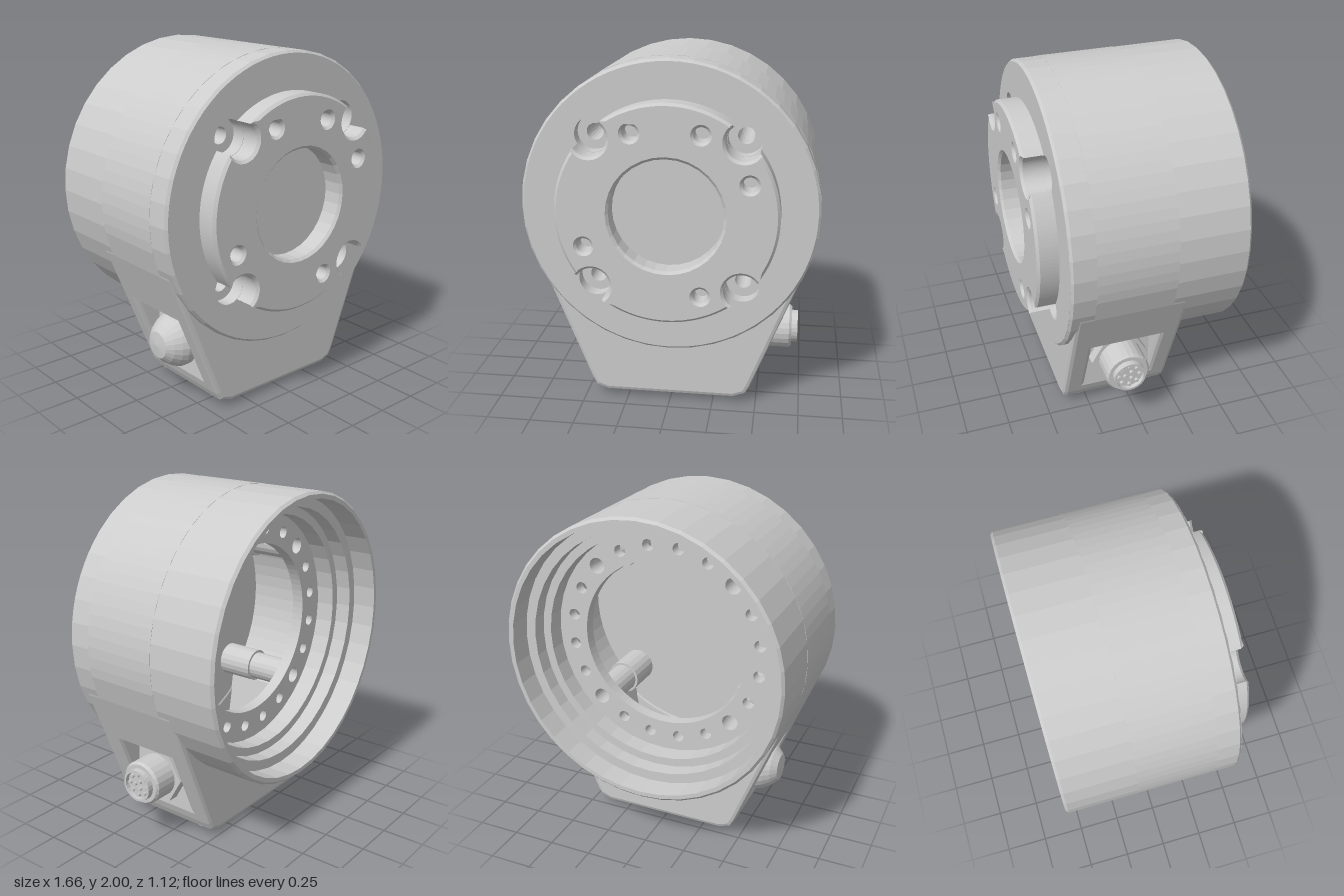
import * as THREE from 'three';

const CY = 1.17;                        // height of the main axis
const R = 0.83;                         // housing radius
const TILT = Math.atan(0.4);            // slope of the pedestal sides
const sideX = (y) => 0.77 - 0.4 * (0.862 - y);
const POCKET_X = sideX(0.15);           // floor of the side pockets

export function createModel() {
  const group = new THREE.Group();
  const metal = new THREE.MeshStandardMaterial({ color: 0xcccccc, side: THREE.DoubleSide });
  metal.name = 'grey metal';

  const add = (name, geometry, x = 0, y = 0, z = 0) => {
    const flat = geometry.index ? geometry.toNonIndexed() : geometry;
    flat.computeVertexNormals();
    const mesh = new THREE.Mesh(flat, metal);
    mesh.name = name;
    mesh.position.set(x, y, z);
    group.add(mesh);
    return mesh;
  };
  const lathe = (points, segments) =>
    new THREE.LatheGeometry(points.map(([r, h]) => new THREE.Vector2(r, h)), segments);
  const circle = (x, y, r) => new THREE.Path().absarc(x, y, r, 0, Math.PI * 2, false);
  const disc = (r) => new THREE.Shape().absarc(0, CY, r, 0, Math.PI * 2, false);

  // Extrudes a shape between two depths, the bevel staying inside its outline
  const slab = (name, shape, z0, z1, bevel = 0, curveSegments = 40, bevelSegments = 2) => {
    const geometry = new THREE.ExtrudeGeometry(shape, {
      depth: z1 - z0 - 2 * bevel, curveSegments, bevelEnabled: bevel > 0,
      bevelThickness: bevel, bevelSize: bevel, bevelOffset: -bevel, bevelSegments,
    });
    return add(name, geometry, 0, 0, z0 + bevel);
  };

  // Outline of the housing with its tapered pedestal, optionally notched for side pockets
  const hull = (radius, pocket) => {
    const right = [[0.37, 0.03], [0.44, 0.055], [sideX(0.1), 0.1]];
    if (pocket) right.push([POCKET_X, 0.15], [POCKET_X, 0.58], [sideX(0.58), 0.58]);
    right.push([0.77, 0.862]);
    const shape = new THREE.Shape();
    shape.moveTo(-right[0][0], right[0][1]);
    right.forEach(([x, y]) => shape.lineTo(x, y));
    shape.absarc(0, CY, radius, 0.18 - TILT, Math.PI + TILT - 0.18, false);
    right.slice(1).reverse().forEach(([x, y]) => shape.lineTo(-x, y));
    shape.closePath();
    return shape;
  };

  // Housing middle with a cavity reaching down into the pedestal
  const middle = hull(R, true);
  const cavity = new THREE.Path();
  cavity.moveTo(-0.36, 0.14);
  cavity.lineTo(0.36, 0.14);
  cavity.absarc(0, CY, 0.7, -0.873, Math.PI + 0.873, false);
  cavity.closePath();
  middle.holes.push(cavity);
  slab('housingMiddle', middle, -0.15, 0.3, 0, 24);

  // Pedestal front and back walls
  for (const [name, z0, z1] of [['pedestalFront', 0.275, 0.4], ['pedestalBack', -0.245, -0.125]]) {
    const wall = hull(0.82, false);
    wall.holes.push(circle(0, CY, 0.75));
    slab(name, wall, z0, z1, 0.025, 24);
  }

  // Turned housing ends
  const backRim = lathe([[0.66, -0.22], [0.68, -0.22], [0.68, -0.33], [0.73, -0.33], [0.73, -0.42],
    [0.79, -0.42], [0.79, -0.56], [0.815, -0.56], [R, -0.545], [R, -0.15]], 40);
  add('backRim', backRim.rotateX(Math.PI / 2), 0, CY, 0);
  const frontRim = lathe([[R, 0.3], [R, 0.425], [0.815, 0.44]], 40);
  add('frontRim', frontRim.rotateX(Math.PI / 2), 0, CY, 0);

  // Front wall, counterbored at the four mounting holes
  const mounts = [1, 3, 5, 7].map((k) => {
    const angle = k * Math.PI / 4;
    return { angle, x: 0.587 * Math.cos(angle), y: CY + 0.587 * Math.sin(angle) };
  });
  const frontFace = disc(0.815);
  const innerFace = disc(0.815);
  for (const m of mounts) {
    frontFace.holes.push(circle(m.x, m.y, 0.098));
    innerFace.holes.push(circle(m.x, m.y, 0.047));
  }
  slab('frontFace', frontFace, 0.36, 0.44);
  slab('frontInnerWall', innerFace, 0.28, 0.36);

  // Raised front flange with open notches, centre recess and pin holes
  const flange = new THREE.Shape();
  const FR = 0.615, half = 0.16;
  for (const m of mounts) {
    flange.absarc(m.x, m.y, 0.1, m.angle - 1.37, m.angle + 1.37, true);
    flange.absarc(0, CY, FR, m.angle + half, m.angle + Math.PI / 2 - half, false);
  }
  flange.closePath();
  flange.holes.push(circle(0, CY, 0.315));
  for (const [x, y] of [[-0.19, 1.62], [0.45, 1.36], [-0.455, 0.985], [0.19, 0.72], [0.19, 1.62]]) {
    flange.holes.push(circle(x, y, 0.042));
  }
  slab('frontFlange', flange, 0.42, 0.56, 0.015, 16, 1);

  // Bolt ring seen through the open back
  const ring = disc(0.69);
  ring.holes.push(circle(0, CY, 0.5));
  for (let i = 0; i < 20; i++) {
    const a = Math.PI / 4 + i * Math.PI / 10;
    ring.holes.push(circle(0.587 * Math.cos(a), CY + 0.587 * Math.sin(a), i % 5 === 0 ? 0.047 : 0.034));
  }
  slab('boltRing', ring, -0.22, -0.15);

  // Hollow bosses between front wall and bolt ring
  for (const m of mounts) {
    const boss = lathe([[0.047, 0.28], [0.047, -0.15], [0.085, -0.15], [0.085, 0.06], [0.1, 0.06], [0.1, 0.28]], 20);
    add('mountBoss', boss.rotateX(Math.PI / 2), m.x, m.y, 0);
  }

  // Side connector with hexagonal nut, sleeve and contact pins
  const CONN_Y = 0.365, CONN_Z = 0.075;
  const nut = new THREE.CylinderGeometry(0.172, 0.172, 0.065, 6).rotateZ(-Math.PI / 2);
  add('connectorNut', nut, 0.515, CONN_Y, CONN_Z);
  const sleeve = lathe([[0.13, 0.49], [0.13, 0.68], [0.118, 0.695], [0.095, 0.695], [0.095, 0.73],
    [0.082, 0.73], [0.082, 0.705], [0, 0.705]], 24);
  add('connectorSleeve', sleeve.rotateZ(-Math.PI / 2), 0, CONN_Y, CONN_Z);
  for (let i = 0; i < 11; i++) {
    const outer = i < 8;
    const a = outer ? i * Math.PI / 4 : i * Math.PI * 2 / 3;
    const r = outer ? 0.062 : 0.025;
    const pin = new THREE.CylinderGeometry(0.011, 0.011, 0.02, 8).rotateZ(-Math.PI / 2);
    add('connectorPin', pin, 0.712, CONN_Y + r * Math.sin(a), CONN_Z + r * Math.cos(a));
  }

  // Domed plug on the other side
  const plug = lathe([[0.16, 0.48], [0.16, 0.535], [0.145, 0.57], [0.118, 0.61], [0.08, 0.645], [0, 0.655]], 24);
  add('ventPlug', plug.rotateZ(Math.PI / 2), 0, 0.35, CONN_Z);

  // Blanking plugs under the pedestal
  for (const [x, z] of [[-0.225, 0.195], [0, -0.045], [0.225, 0.195]]) {
    const foot = lathe([[0, 0], [0.06, 0.003], [0.08, 0.012], [0.085, 0.035]], 20);
    add('bottomPlug', foot, x, 0, z);
  }

  // Screw heads at the lower corners, nearly flush with the chamfer
  for (const x of [-0.4, 0.4]) {
    for (const z of [0.305, -0.15]) {
      const screw = new THREE.CylinderGeometry(0.033, 0.033, 0.03, 14);
      add('cornerScrew', screw, x, 0.053, z).rotation.z = Math.sign(x) * 0.34;
    }
  }
  return group;
}
